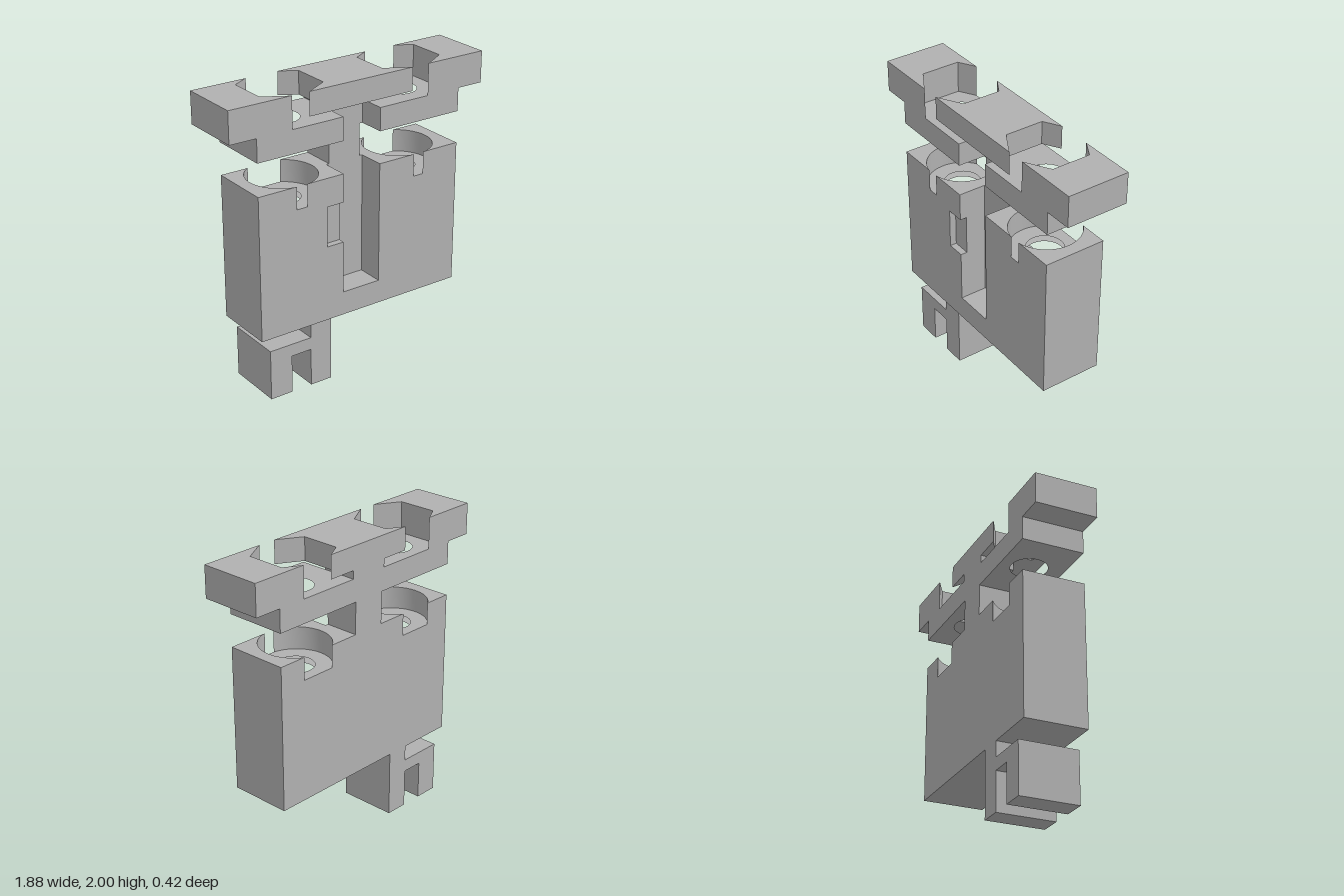
import * as THREE from 'three';
import { toCreasedNormals } from 'three/addons/utils/BufferGeometryUtils.js';

const D = 0.21;                  // half depth of the block
const CX = 0.445, CZ = -0.015;   // bore centre
const CW = 0.138, CB = 0.025;    // front channel half width and back wall

export function createModel() {
  const group = new THREE.Group();
  const grey = new THREE.MeshStandardMaterial({ color: 0xb0b0b0 });
  grey.name = 'plain grey';

  // Extrude a plan outline of [x, z] points from y0 up to y1
  function slab(name, pts, y0, y1, holeRadius = 0) {
    const shape = new THREE.Shape(pts.map(([x, z]) => new THREE.Vector2(x, -z)));
    if (holeRadius) for (const s of [-1, 1]) {
      const hole = new THREE.Path();
      hole.absarc(s * CX, -CZ, holeRadius, 0, Math.PI * 2, true);
      shape.holes.push(hole);
    }
    const geo = new THREE.ExtrudeGeometry(shape, { depth: y1 - y0, bevelEnabled: false, curveSegments: 20 });
    geo.rotateX(-Math.PI / 2).translate(0, y0, 0);
    const mesh = new THREE.Mesh(toCreasedNormals(geo, 0.6), grey);
    mesh.name = name;
    group.add(mesh);
  }

  function box(name, x0, x1, y0, y1, z0, z1) {
    const geo = new THREE.BoxGeometry(x1 - x0, y1 - y0, z1 - z0);
    geo.translate((x0 + x1) / 2, (y0 + y1) / 2, (z0 + z1) / 2);
    const mesh = new THREE.Mesh(geo, grey);
    mesh.name = name;
    group.add(mesh);
  }

  const channel = [[CW, D], [CW, CB], [-CW, CB], [-CW, D]];
  const channelled = (w) => [[-w, -D], [w, -D], [w, D], ...channel, [-w, D]];

  // Cutout profiles, [half width, z] from back to front
  const hex = [[0.113, -D], [0.225, CZ - 0.13], [0.225, CZ + 0.13], [0.061, D]];
  const R = 0.228, round = [];
  const a0 = Math.asin((-D - CZ) / R), a1 = Math.asin((D - CZ) / R);
  for (let i = 0; i <= 24; i++) {
    const a = a0 + (a1 - a0) * i / 24;
    round.push([R * Math.cos(a), CZ + R * Math.sin(a)]);
  }

  // Piece between the two cutouts, and the pieces outside them
  function centrePiece(name, cut, y0, y1, front = []) {
    const right = cut.map(([h, z]) => [CX - h, z]);
    const left = right.map(([x, z]) => [-x, z]).reverse();
    slab(name, [...right, ...front, ...left], y0, y1);
  }
  function endPieces(name, cut, w, y0, y1) {
    for (const s of [-1, 1]) {
      const inner = cut.map(([h, z]) => [s * (CX + h), z]);
      slab(name + (s > 0 ? 'Left' : 'Right'), [...inner, [s * w, D], [s * w, -D]], y0, y1);
    }
  }

  // Body, in layers from the bottom up
  const W = 0.755;
  box('bodyBase', -W, W, 0.45, 0.61, -D, D);
  slab('bodyLower', channelled(W), 0.61, 0.96, 0.12);
  const pocketed = [[-W, -D], [W, -D], [W, D], ...channel.slice(0, 3),
    [-CW, 0.165], [-0.26, 0.165], [-0.26, D], [-W, D]];
  slab('bodyPocketLayer', pocketed, 0.96, 1.23, 0.12);
  slab('boreFloor', channelled(W), 1.23, 1.27, 0.12);
  centrePiece('bodyTopCentre', round, 1.27, 1.42, channel);
  endPieces('bodyTop', round, W, 1.27, 1.42);

  // Stem joining the body to the clamp
  box('stem', -0.117, 0.117, 1.42, 1.635, -D, CB);

  // Clamp bar, neck and top plates with hexagonal seats
  slab('clampBar', channelled(W), 1.635, 1.79, 0.12);
  box('neck', -CW, CW, 1.79, 1.845, -D, CB);
  centrePiece('topPlate', hex, 1.845, 2);
  endPieces('clampEnd', hex, 0.94, 1.79, 2);

  // Hook below the body
  const zf = 0.185;
  box('hookPost', -0.375, -0.22, 0, 0.45, -D, zf);
  box('hookBridge', -0.52, -0.375, 0.26, 0.345, -D, zf);
  box('hookLeg', -0.68, -0.52, 0, 0.345, -D, zf);

  return group;
}
